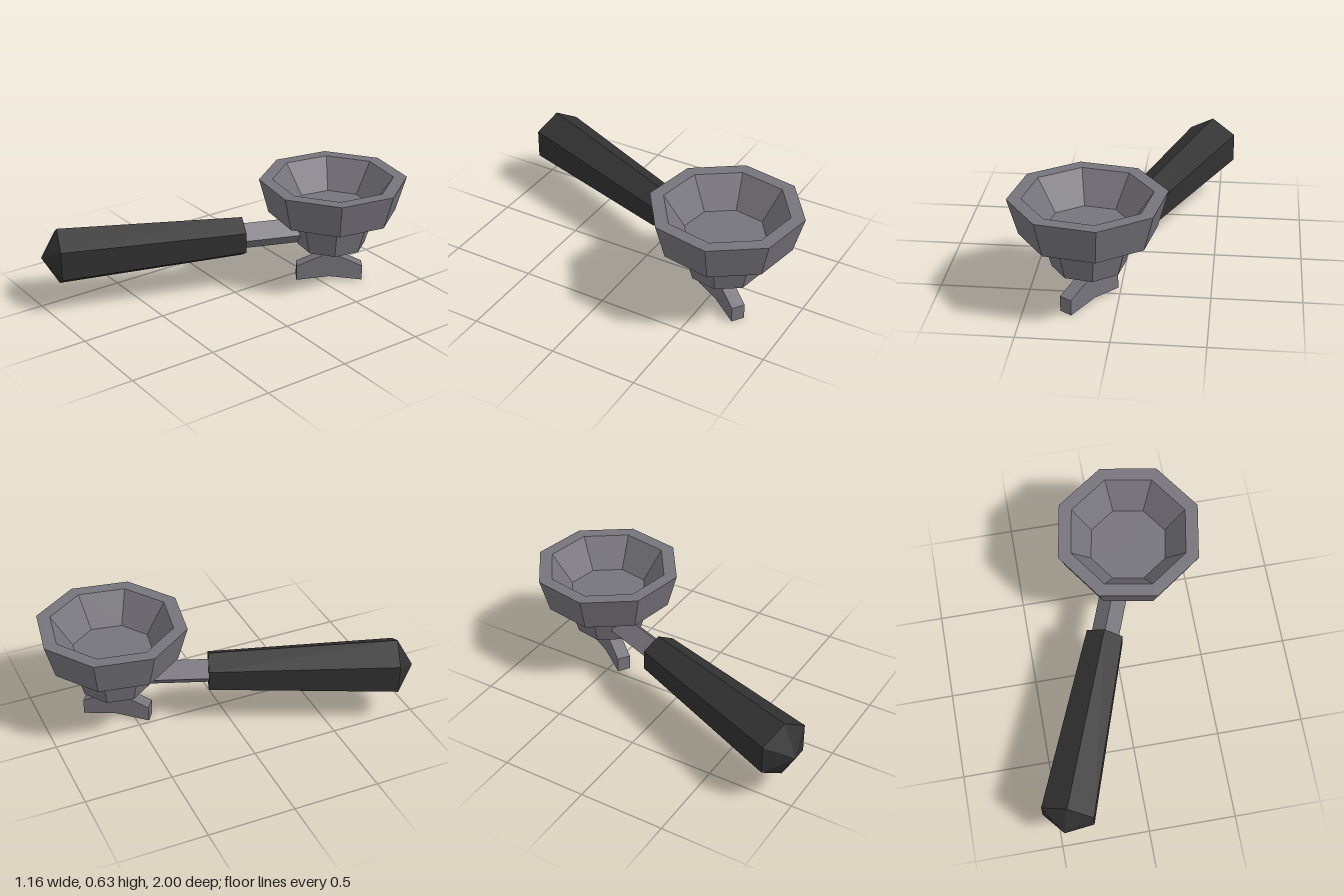
import * as THREE from 'three';

const deg = THREE.MathUtils.degToRad;

// Gives every face its own flat normal
function faceted(geometry) {
  const flat = geometry.index ? geometry.toNonIndexed() : geometry;
  flat.computeVertexNormals();
  return flat;
}

// Low-poly turned form from [radius, height] pairs, listed bottom to top
function turned(profile, sides) {
  return new THREE.LatheGeometry(profile.map(([r, y]) => new THREE.Vector2(r, y)), sides);
}

export function createModel() {
  const metal = new THREE.MeshStandardMaterial({ color: 0x76747b });
  metal.name = 'grey metal';
  const black = new THREE.MeshStandardMaterial({ color: 0x313131 });
  black.name = 'black grip';

  const model = new THREE.Group();
  model.name = 'coffeeFilterHolder';

  function add(name, geometry, material, parent = model) {
    const mesh = new THREE.Mesh(faceted(geometry), material);
    mesh.name = name;
    parent.add(mesh);
    return mesh;
  }

  // Stepped eight-sided cup with a hollow bowl
  const cup = add('cup', turned([
    [0, 0.225], [0.2, 0.225], [0.256, 0.43], [0.372, 0.43],
    [0.429, 0.635], [0.351, 0.635], [0.231, 0.46], [0, 0.46],
  ], 8), metal);
  cup.position.set(0.158, 0, -0.582);
  cup.rotation.y = deg(12.5);

  // Double spout: stem and two sloping shoulders, notched below
  const half = [[0.194, 0], [0.194, 0.09], [0.043, 0.16], [0.043, 0.235]];
  const outline = [
    [0, 0.024], ...half,
    ...half.map(([x, y]) => [-x, y]).reverse(),
  ].map(([x, y]) => new THREE.Vector2(x, y));
  const thickness = 0.078;
  const spoutGeometry = new THREE.ExtrudeGeometry(new THREE.Shape(outline), {
    depth: thickness, bevelEnabled: false,
  });
  spoutGeometry.translate(0, 0, -thickness / 2);
  const spout = add('spout', spoutGeometry, metal);
  spout.position.set(0.158, 0, -0.572);
  spout.rotation.y = deg(55.5);

  // Handle assembly, pointing forward along its own z axis
  const handle = new THREE.Group();
  handle.name = 'handle';
  handle.position.set(-0.065, 0.3125, -0.095);
  handle.rotation.y = deg(-20.7);
  model.add(handle);

  // Six-sided tapered grip with a pointed end
  add('grip', turned([
    [0, 0], [0.12, 0], [0.169, 1.069], [0, 1.165],
  ], 6).rotateX(Math.PI / 2), black, handle);

  // Four-sided neck joining the grip to the cup
  add('neck', turned([
    [0, -0.35], [0.08, -0.35], [0.08, 0.02], [0, 0.02],
  ], 4).rotateX(Math.PI / 2), metal, handle);

  return model;
}
